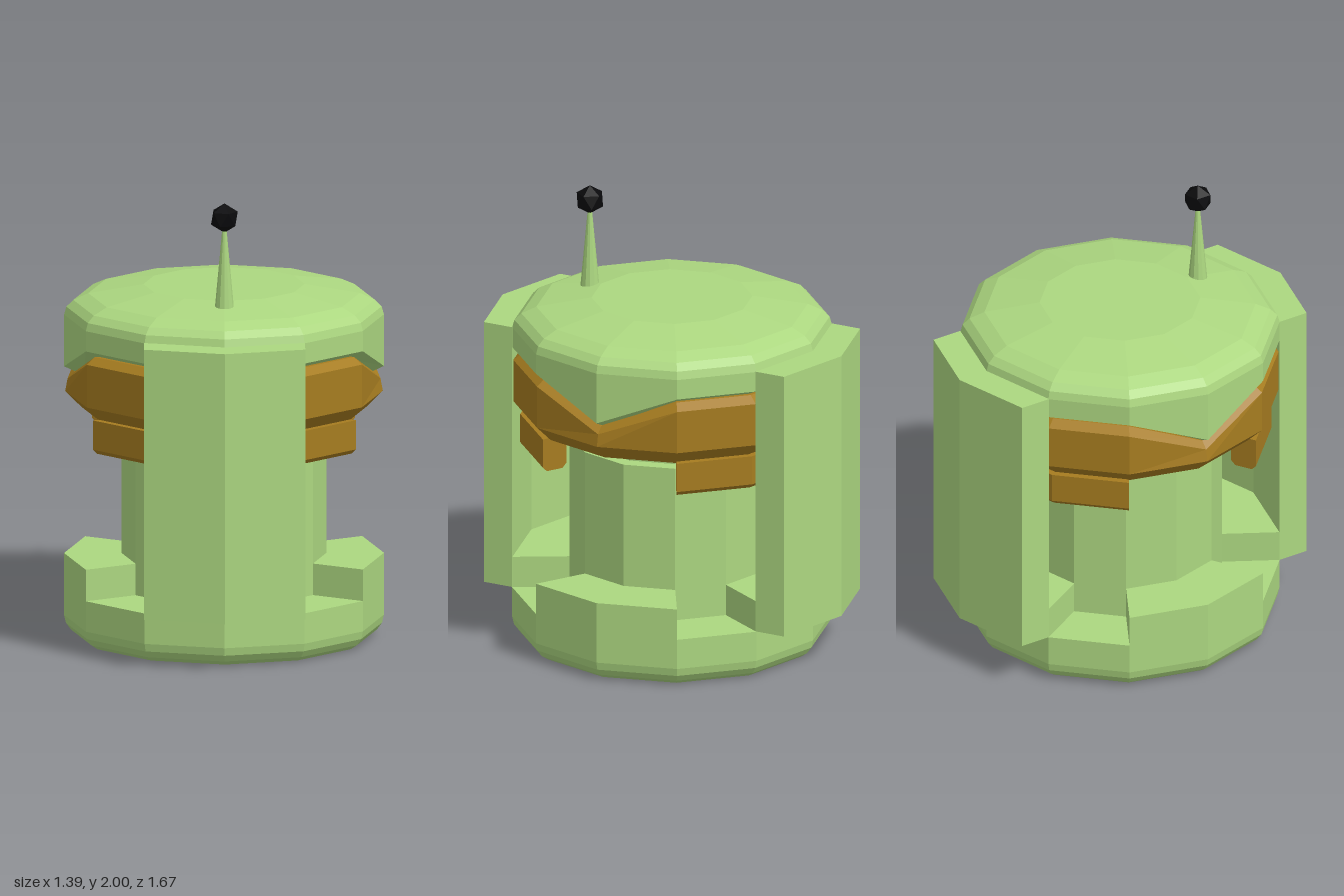
import * as THREE from 'three';

const SIDES = 12;
const STEP = (Math.PI * 2) / SIDES;

// Sweeps a closed counterclockwise [radius, y] profile around the y axis,
// from corner `first` to corner `last` of a twelve-sided ring.
// profileAt(corner) may change the section from corner to corner.
function sweep(profileAt, first = 0, last = SIDES) {
  const pos = [];
  const point = (i, p) => [p[0] * Math.cos(i * STEP), p[1], p[0] * Math.sin(i * STEP)];
  const tri = (a, b, c) => pos.push(...a, ...b, ...c);
  for (let i = first; i < last; i++) {
    const p = profileAt(i), q = profileAt(i + 1);
    for (let j = 0; j < p.length; j++) {
      const k = (j + 1) % p.length;
      const a = point(i, p[j]), b = point(i, p[k]);
      const c = point(i + 1, q[k]), d = point(i + 1, q[j]);
      if (p[j][0] > 0) tri(a, b, d);
      if (p[k][0] > 0) tri(b, c, d);
    }
  }
  // End faces of a partial ring
  if (last - first < SIDES) {
    for (const i of [first, last]) {
      const p = profileAt(i);
      const outline = p.map(([r, y]) => new THREE.Vector2(r, y));
      for (const [a, b, c] of THREE.ShapeUtils.triangulateShape(outline, [])) {
        const [A, B, C] = [a, b, c].map((n) => point(i, p[n]));
        if (i === first) tri(A, C, B);
        else tri(A, B, C);
      }
    }
  }
  const geo = new THREE.BufferGeometry();
  geo.setAttribute('position', new THREE.Float32BufferAttribute(pos, 3));
  geo.computeVertexNormals();
  return geo;
}

export function createModel() {
  const model = new THREE.Group();
  const paint = (color) => new THREE.MeshStandardMaterial({ color, flatShading: true });
  const green = paint(0xacd780);
  const gold = paint(0xa67c20);
  const black = paint(0x0a0a0c);

  const add = (name, geometry, material) => {
    const mesh = new THREE.Mesh(geometry, material);
    mesh.name = name;
    model.add(mesh);
    return mesh;
  };
  // The corners on the x axis are pulled down into a V
  const isDip = (i) => i % 6 === 0;

  // Base with a rounded lower edge
  add('base', sweep(() => [
    [0, 0], [0.635, 0], [0.665, 0.02], [0.687, 0.05], [0.695, 0.085], [0.695, 0.22], [0, 0.22],
  ]), green);

  // Raised rim blocks on the four sides of the base
  for (const middle of [0, 3, 6, 9]) {
    add('rimBlock', sweep(() => [
      [0.4, 0.21], [0.695, 0.21], [0.695, 0.36], [0.4, 0.36],
    ], middle - 1, middle + 1), green);
  }

  // Central column with a narrower neck
  add('column', sweep(() => [
    [0, 0.2], [0.445, 0.2], [0.445, 0.92], [0.385, 0.92], [0.385, 1.2], [0, 1.2],
  ]), green);

  // Collar under the cap
  add('collar', sweep((i) => {
    const top = isDip(i) ? 1.165 : 1.3;
    return [
      [0.38, 1.01], [0.62, 1.01], [0.69, 1.08],
      [isDip(i) ? 0.68 : 0.69, top - 0.03], [0.65, top], [0.38, top],
    ];
  }), gold);

  // Hanging collar blocks, front and back
  for (const first of [1, 7]) {
    add('collarBlock', sweep(() => [
      [0.56, 0.87], [0.64, 0.87], [0.66, 0.89], [0.66, 1.02], [0.54, 1.02], [0.54, 0.89],
    ], first, first + 4), gold);
  }

  // Domed cap with a V-shaped lower edge on each side
  add('cap', sweep((i) => {
    const low = isDip(i) ? 1.19 : 1.33;
    return [
      [0, low - 0.04], [0.61, low - 0.04], [0.695, low], [0.695, 1.42],
      [0.685, 1.455], [0.655, 1.485], [0.59, 1.515], [0.35, 1.555], [0, 1.555],
    ];
  }), green);

  // Tall bent panels, front and back
  const outline = new THREE.Shape([
    [-0.35, -0.6], [-0.35, -0.74], [0, -0.835], [0.35, -0.74], [0.35, -0.6], [0, -0.694],
  ].map(([x, y]) => new THREE.Vector2(x, y)));
  const panel = new THREE.ExtrudeGeometry(outline, { depth: 1.2, bevelEnabled: false });
  panel.rotateX(-Math.PI / 2).translate(0, 0.222, 0);
  add('frontPanel', panel, green);
  add('backPanel', panel, green).rotation.y = Math.PI;

  // Antenna with a faceted ball
  add('antenna', new THREE.CylinderGeometry(0.008, 0.042, 0.37, 12), green)
    .position.set(0, 1.715, 0.405);
  const ball = new THREE.IcosahedronGeometry(0.065, 0);
  ball.rotateZ(-Math.atan(2 / (1 + Math.sqrt(5))));
  add('antennaBall', ball, black).position.set(0, 1.935, 0.405);

  return model;
}
